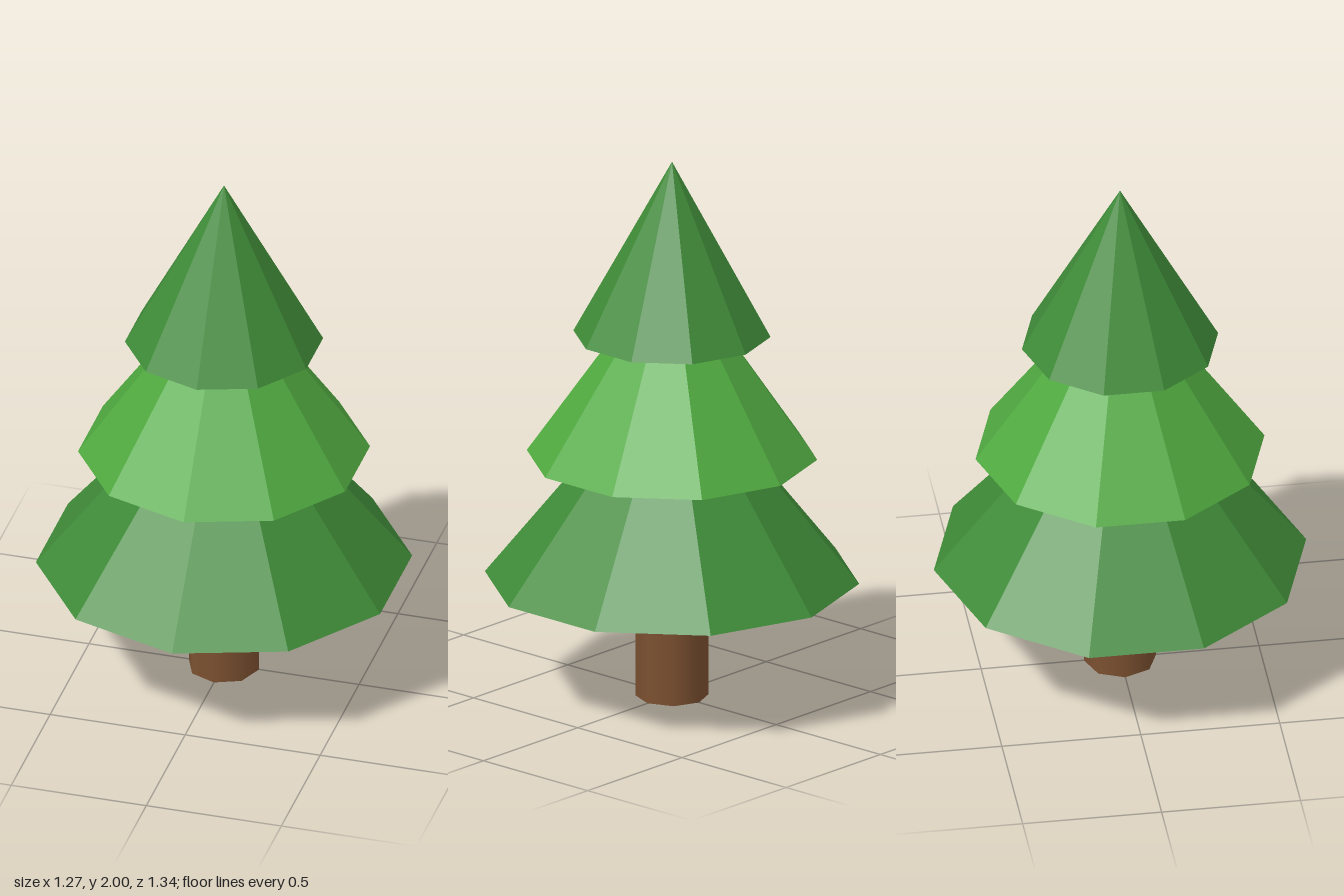
import * as THREE from 'three';

function material(name, color, flatShading = false) {
  const m = new THREE.MeshStandardMaterial({ color, flatShading });
  m.name = name;
  return m;
}

export function createModel() {
  const tree = new THREE.Group();
  tree.name = 'pineTree';

  const bark = material('barkBrown', 0x7b5030);
  const darkGreen = material('darkGreen', 0x3f8b38, true);
  const lightGreen = material('lightGreen', 0x50aa40, true);

  // Adds a mesh whose base rests at height y
  const add = (name, geometry, mat, y) => {
    const mesh = new THREE.Mesh(geometry, mat);
    mesh.name = name;
    mesh.position.y = y + geometry.parameters.height / 2;
    tree.add(mesh);
  };

  // Smooth eight-sided trunk, its top hidden in the lowest tier
  add('trunk', new THREE.CylinderGeometry(0.13, 0.13, 0.46, 8), bark, 0);

  // Three overlapping ten-sided foliage tiers
  const tiers = [
    ['lowerFoliage', 0.67, 0.83, 0.44, darkGreen],
    ['middleFoliage', 0.52, 0.74, 0.9, lightGreen],
    ['upperFoliage', 0.353, 0.645, 1.355, darkGreen],
  ];
  for (const [name, radius, height, y, mat] of tiers) {
    add(name, new THREE.ConeGeometry(radius, height, 10), mat, y);
  }

  return tree;
}
